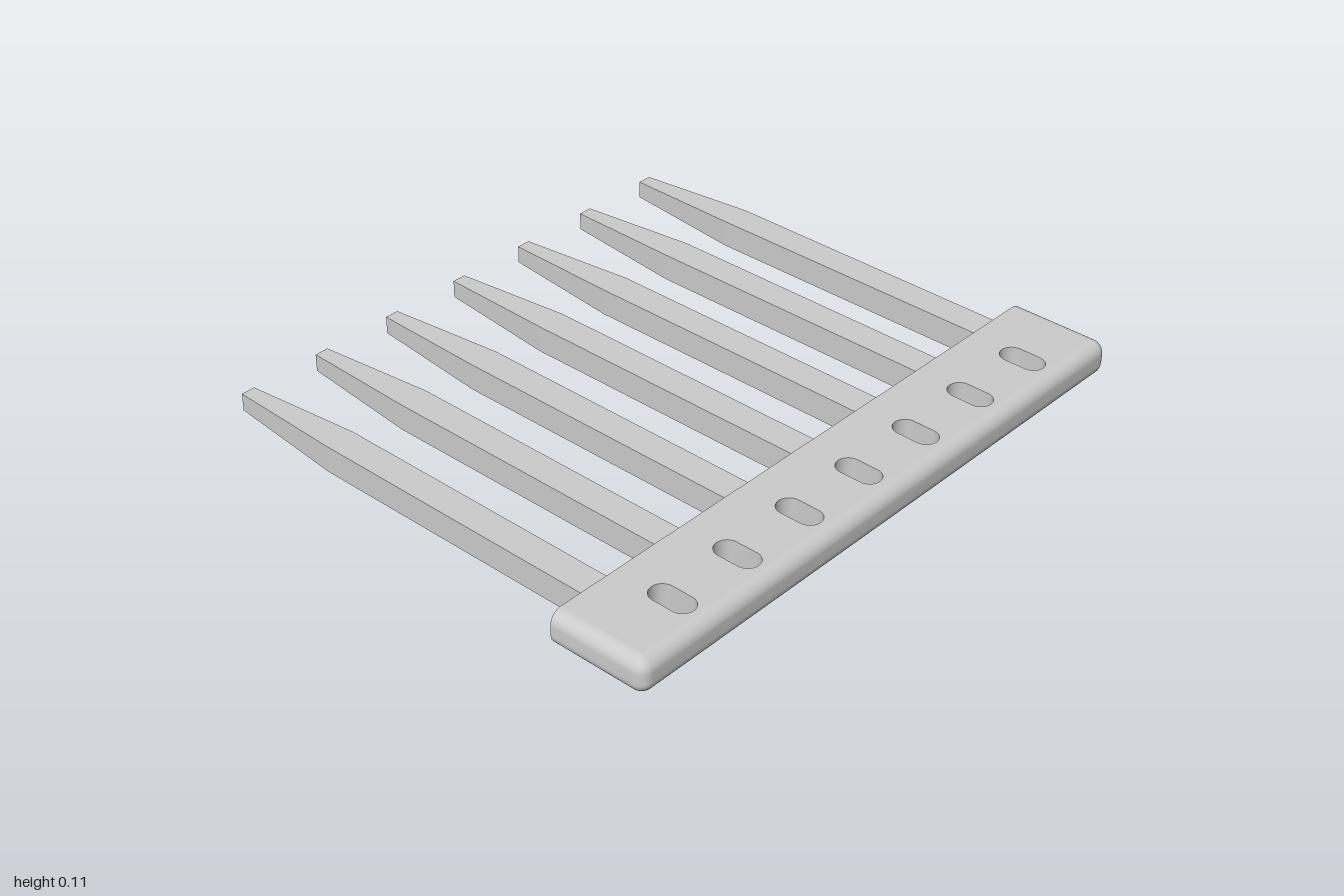
import * as THREE from 'three';
import { mergeGeometries } from 'three/addons/utils/BufferGeometryUtils.js';

const H = 0.11, R = 0.04;             // bar height and edge radius
const BACK = 0.525, FRONT = 0.84;     // bar extent in z
const X = 1 - R, Z = FRONT - R;       // limits of the flat faces
const SLOT_R = 0.038, SLOT_Z = 0.7125, SLOT_HALF = 0.0345;

// Surface through rows of [x, y, z] points; it faces column direction x row direction
function loft(rows) {
  const n = rows[0].length, index = [];
  for (let j = 0; j < rows.length - 1; j++) {
    for (let i = 0; i < n - 1; i++) {
      const a = j * n + i, b = a + 1, c = a + n, d = c + 1;
      index.push(a, b, c, b, d, c);
    }
  }
  const g = new THREE.BufferGeometry();
  g.setAttribute('position', new THREE.Float32BufferAttribute(rows.flat(2), 3));
  g.setIndex(index);
  g.computeVertexNormals();
  return g;
}

function arc(from, to, steps) {
  return Array.from({ length: steps + 1 }, (_, i) => from + (to - from) * i / steps);
}

// Outline of one slot as [x, z] points
function slotOutline(x) {
  const half = (from, side) => arc(from, from + Math.PI, 14).map(a =>
    [x + SLOT_R * Math.cos(a), SLOT_Z + side * SLOT_HALF + SLOT_R * Math.sin(a)]);
  const pts = [...half(0, 1), ...half(Math.PI, -1)];
  return [...pts, pts[0]];
}

function createBar() {
  const slots = [-3, -2, -1, 0, 1, 2, 3].map(i => slotOutline(i * 0.25));

  // Flat top and bottom with the slots cut out
  const face = s => {
    const v = (x, z) => new THREE.Vector2(x, s * z);
    const shape = new THREE.Shape([v(-X, BACK), v(X, BACK), v(X, Z), v(-X, Z)]);
    shape.holes = slots.map(pts => new THREE.Path(pts.slice(0, -1).map(p => v(...p))));
    return new THREE.ShapeGeometry(shape).rotateX(s * Math.PI / 2);
  };
  const top = face(-1).translate(0, H, 0);
  const bottom = face(1);

  // Rounded rim swept around the right, front and left sides
  const q = Math.PI / 2;
  const profile = [
    ...arc(-q, 0, 8).map(b => [R * Math.cos(b), R + R * Math.sin(b)]),
    ...arc(0, q, 8).map(b => [R * Math.cos(b), H - R + R * Math.sin(b)]),
  ];
  const path = [
    [X, BACK, 0],
    ...arc(0, q, 8).map(a => [X, Z, a]),
    ...arc(q, 2 * q, 8).map(a => [-X, Z, a]),
    [-X, BACK, 2 * q],
  ];
  const rim = loft(path.map(([x, z, a]) =>
    profile.map(([out, y]) => [x + out * Math.cos(a), y, z + out * Math.sin(a)])));

  // Flat back with rounded ends
  const right = profile.map(([out, y]) => new THREE.Vector2(X + out, y));
  const left = right.map(p => new THREE.Vector2(-p.x, p.y)).reverse();
  const back = new THREE.ShapeGeometry(new THREE.Shape([...right, ...left]))
    .rotateY(Math.PI).translate(0, 0, BACK);

  // Inner walls of the slots
  const walls = slots.map(pts => loft(pts.map(([x, z]) => [[x, H, z], [x, 0, z]])));

  const parts = [top, bottom, rim, back, ...walls];
  parts.forEach(g => g.deleteAttribute('uv'));
  return mergeGeometries(parts);
}

// Square bar that tapers to a blunt tip
function createTine() {
  const ring = (z, w, h) => [[1, 1], [1, -1], [-1, -1], [-1, 1], [1, 1]]
    .map(([sx, sy]) => [sx * w / 2, H / 2 + sy * h / 2, z]);
  const g = loft([
    ring(BACK, 0.096, 0.086),
    ring(-0.45, 0.096, 0.086),
    ring(-0.84, 0.045, 0.056),
    ring(-0.84, 0, 0),
  ]).toNonIndexed();
  g.computeVertexNormals();
  return g;
}

export function createModel() {
  const group = new THREE.Group();
  group.name = 'rakeHead';
  const smooth = new THREE.MeshStandardMaterial({ color: 0xcccccc });
  const flat = new THREE.MeshStandardMaterial({ color: 0xcccccc, flatShading: true });

  const bar = new THREE.Mesh(createBar(), smooth);
  bar.name = 'slottedBar';
  group.add(bar);

  const tineGeometry = createTine();
  for (let i = -3; i <= 3; i++) {
    const tine = new THREE.Mesh(tineGeometry, flat);
    tine.name = `tine${i + 4}`;
    tine.position.x = i * 0.277;
    group.add(tine);
  }
  return group;
}
